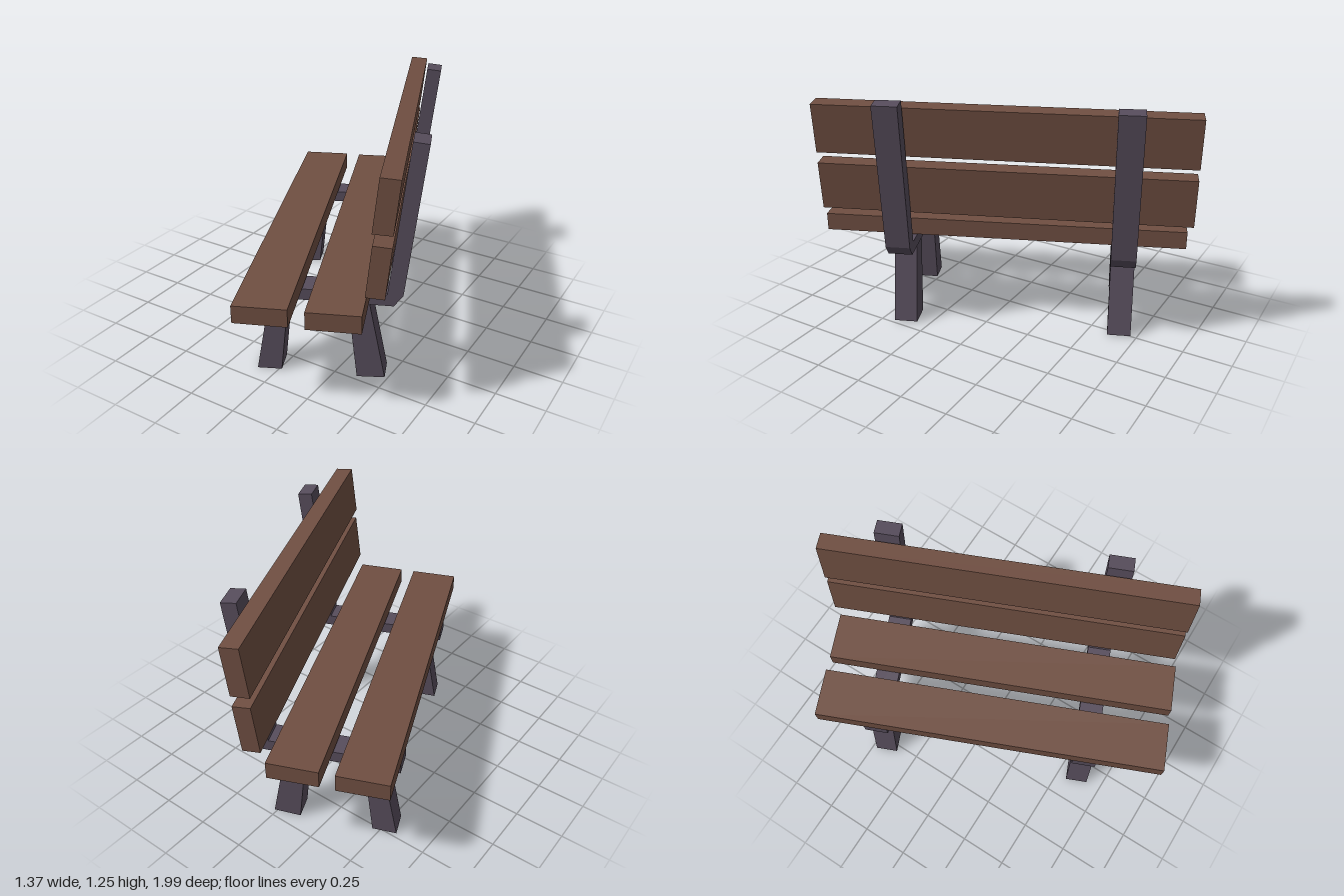
import * as THREE from 'three';

const wood = new THREE.MeshStandardMaterial({ color: 0x704f42, flatShading: true });
const metal = new THREE.MeshStandardMaterial({ color: 0x574d5c, flatShading: true });

// Extrude a side profile [depth, height] along the bench between z0 and z1.
function profilePart(name, points, z0, z1, material) {
  const shape = new THREE.Shape(points.map(([x, y]) => new THREE.Vector2(x, y)));
  const geometry = new THREE.ExtrudeGeometry(shape, { depth: z1 - z0, bevelEnabled: false });
  geometry.translate(0, 0, z0);
  const mesh = new THREE.Mesh(geometry, material);
  mesh.name = name;
  return mesh;
}

export function createModel() {
  const model = new THREE.Group();
  model.name = 'bench';

  // Local x runs from seat front to back, local z along the bench.
  const bench = new THREE.Group();
  bench.name = 'benchBody';
  bench.rotation.y = 0.397;
  model.add(bench);

  // Seat planks
  for (const [name, x0, x1, z0, z1] of [
    ['frontSeatPlank', -0.363, -0.111, -0.913, 0.923],
    ['rearSeatPlank', -0.035, 0.215, -0.91, 0.928],
  ]) {
    bench.add(profilePart(name, [[x0, 0.488], [x1, 0.488], [x1, 0.578], [x0, 0.576]], z0, z1, wood));
  }

  // Leaning backrest planks, rising very slightly along their length
  for (const [name, points] of [
    ['lowerBackPlank', [[0.223, 0.657], [0.309, 0.652], [0.335, 0.9], [0.25, 0.906]]],
    ['upperBackPlank', [[0.247, 0.96], [0.337, 0.956], [0.364, 1.206], [0.275, 1.212]]],
  ]) {
    const plank = profilePart(name, points, -0.926, 0.908, wood);
    plank.rotation.x = -0.003;
    bench.add(plank);
  }

  // Two supports: a bent rail and post with a pair of splayed legs
  const railAndPost = [
    [-0.36, 0.418], [0.322, 0.422], [0.366, 0.48], [0.458, 1.24],
    [0.383, 1.248], [0.29, 0.481], [-0.36, 0.478],
  ];
  const frontLeg = [[-0.35, 0], [-0.227, 0.004], [-0.182, 0.425], [-0.274, 0.425]];
  const rearLeg = [[0.15, 0], [0.288, 0.008], [0.208, 0.425], [0.105, 0.425]];
  for (const [name, z] of [['firstSupport', -0.603], ['secondSupport', 0.519]]) {
    const support = new THREE.Group();
    support.name = name;
    support.position.z = z;
    support.add(
      profilePart('railAndPost', railAndPost, -0.062, 0.062, metal),
      profilePart('frontLeg', frontLeg, -0.06, 0.06, metal),
      profilePart('rearLeg', rearLeg, -0.06, 0.06, metal),
    );
    bench.add(support);
  }
  return model;
}
